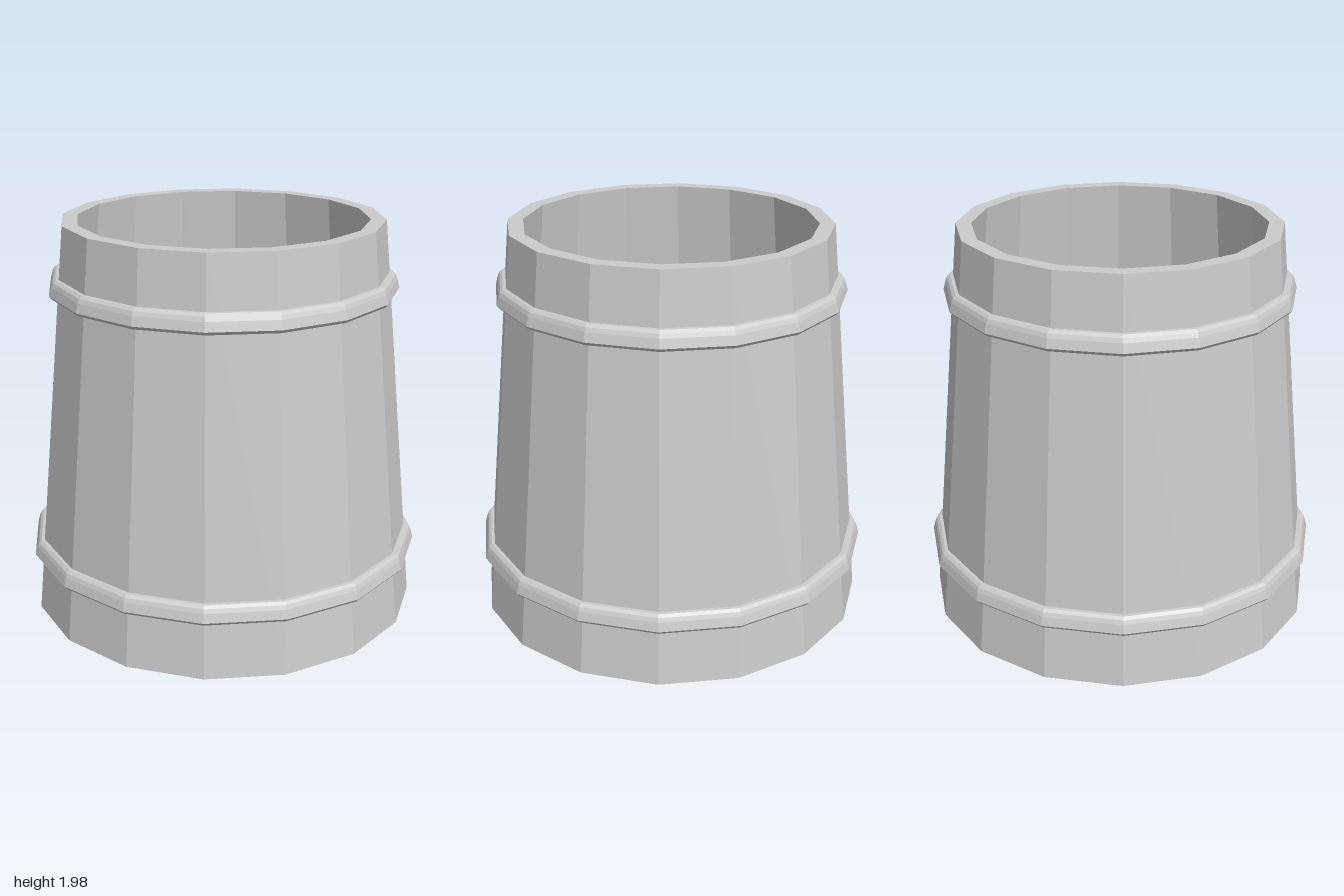
import * as THREE from 'three';

const SIDES = 16;
const HEIGHT = 1.975;

// Outer wall radius at height y (straight taper)
const wallRadius = (y) => THREE.MathUtils.lerp(0.985, 0.79, y / HEIGHT);

function lathePart(name, profile, material) {
  const points = profile.map(([r, y]) => new THREE.Vector2(r, y));
  const mesh = new THREE.Mesh(new THREE.LatheGeometry(points, SIDES), material);
  mesh.name = name;
  return mesh;
}

// Rounded band wrapped around the tapered wall, starting at height y
function hoop(name, y, material) {
  const section = [[-0.02, 0], [0.028, 0], [0.043, 0.016], [0.036, 0.06], [0.029, 0.08], [0.016, 0.092], [-0.02, 0.095]];
  const profile = section.map(([out, up]) => [wallRadius(y + up) + out, y + up]);
  return lathePart(name, profile, material);
}

export function createModel() {
  const group = new THREE.Group();
  group.name = 'tub';
  const material = new THREE.MeshStandardMaterial({ color: 0xcccccc, flatShading: true });

  // Hollow body: underside, outer wall, rim, inner wall, inner floor
  const thickness = 0.075;
  const floorY = 0.08;
  group.add(lathePart('body', [
    [0, 0],
    [wallRadius(0), 0],
    [wallRadius(HEIGHT), HEIGHT],
    [wallRadius(HEIGHT) - thickness, HEIGHT],
    [wallRadius(floorY) - thickness, floorY],
    [0, floorY],
  ], material));

  // Two hoops
  group.add(hoop('lowerHoop', 0.285, material));
  group.add(hoop('upperHoop', 1.627, material));
  return group;
}
